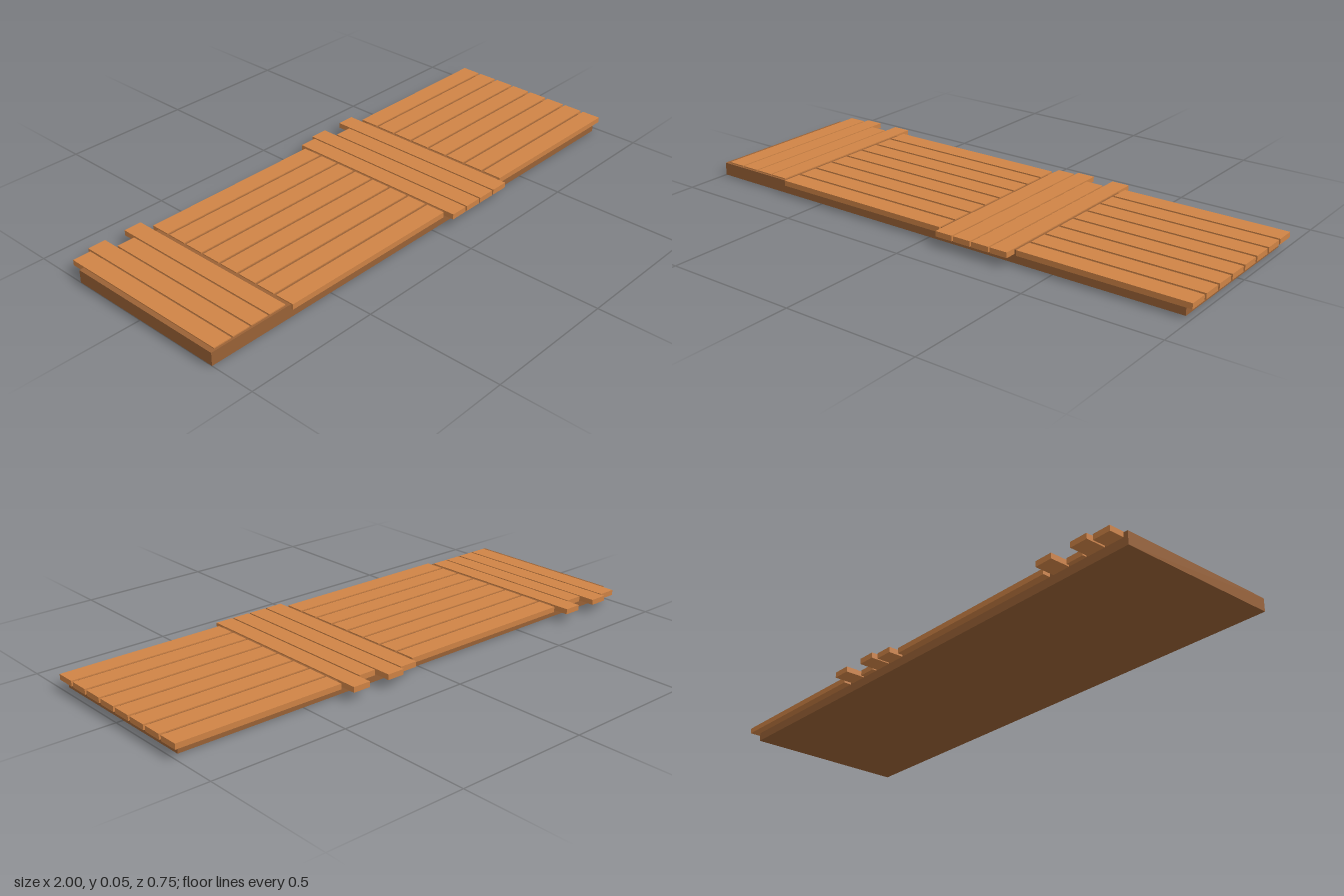
import * as THREE from 'three';

const darkWood = new THREE.MeshStandardMaterial({ color: 0x9a6236 });
const lightWood = new THREE.MeshStandardMaterial({ color: 0xd08446 });

// Box given by its limits on each axis
function block(name, material, [x0, x1], [y0, y1], [z0, z1]) {
  const mesh = new THREE.Mesh(new THREE.BoxGeometry(x1 - x0, y1 - y0, z1 - z0), material);
  mesh.position.set((x0 + x1) / 2, (y0 + y1) / 2, (z0 + z1) / 2);
  mesh.name = name;
  return mesh;
}

export function createModel() {
  const model = new THREE.Group();
  model.name = 'woodenWalkway';
  const plankY = [0.032, 0.052];

  // Solid base, with the planks sunk into its top
  model.add(block('base', darkWood, [-1, 0.975], [0, 0.048], [-0.298, 0.33]));

  // Two runs of eight lengthwise planks
  for (const span of [[-0.675, 0.05], [0.365, 1]]) {
    const run = new THREE.Group();
    run.name = 'lengthwisePlanks';
    for (let i = 0; i < 8; i++) {
      const z = -0.326 + i * 0.0845;
      run.add(block('lengthwisePlank', lightWood, span, plankY, [z, z + 0.0735]));
    }
    model.add(run);
  }

  // Two sets of four crosswise planks with uneven back ends
  const backEnds = [-0.354, -0.373, -0.315, -0.373];
  for (const [startX, frontZ] of [[-0.982, 0.322], [0.061, 0.372]]) {
    const set = new THREE.Group();
    set.name = 'crosswisePlanks';
    backEnds.forEach((backZ, i) => {
      const x = startX + i * 0.0745;
      set.add(block('crosswisePlank', lightWood, [x, x + 0.068], plankY, [backZ, frontZ]));
    });
    model.add(set);
  }
  return model;
}
